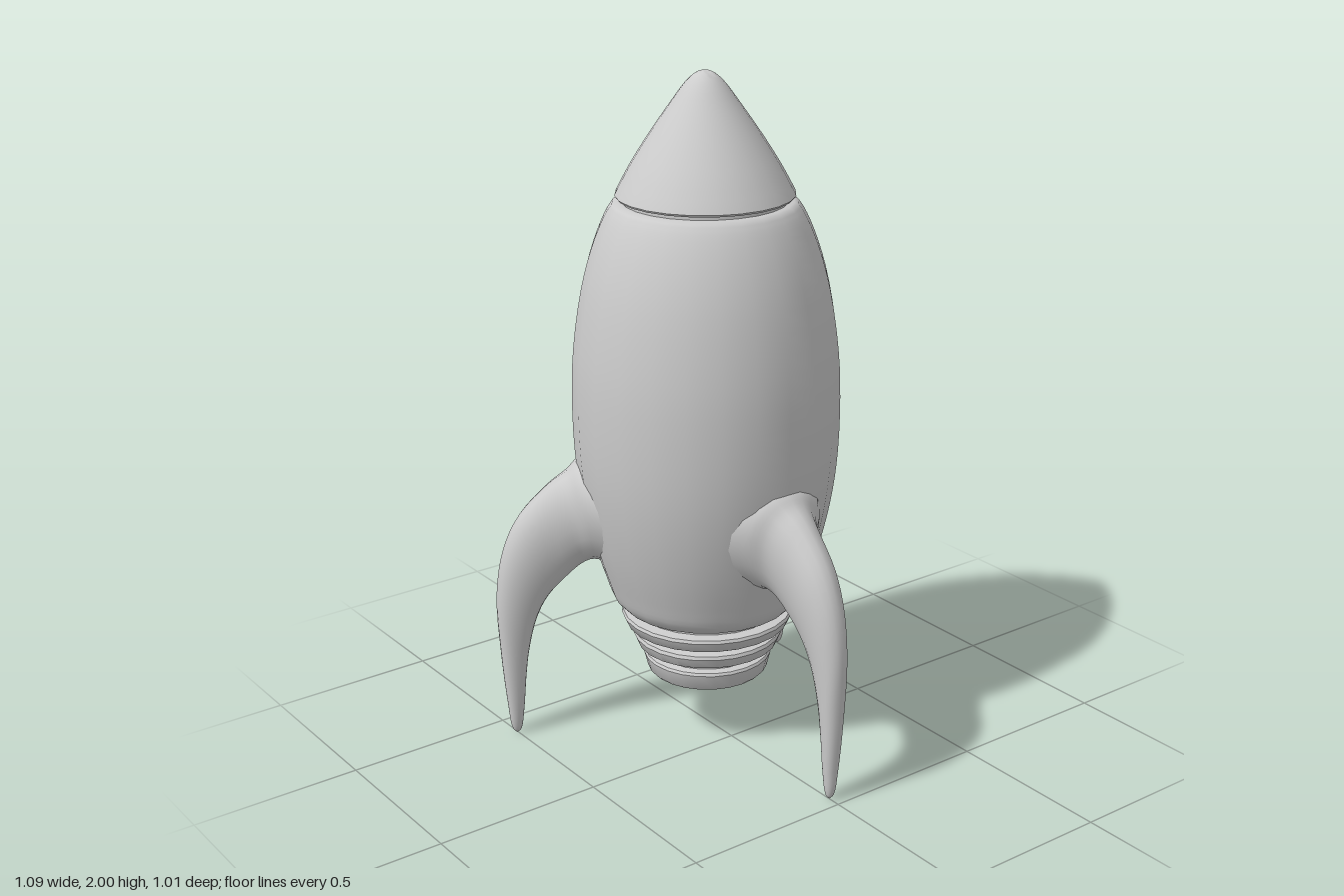
import * as THREE from 'three';
import { toCreasedNormals } from 'three/addons/utils/BufferGeometryUtils.js';

const material = new THREE.MeshStandardMaterial({ color: 0xcccccc });
const SIDES = 24;

function lathe(name, points) {
  const geometry = new THREE.LatheGeometry(points.map(([r, y]) => new THREE.Vector2(r, y)), SIDES);
  const mesh = new THREE.Mesh(toCreasedNormals(geometry, 0.7), material);
  mesh.name = name;
  return mesh;
}

// Smooth curve through profile points
function smooth(points, steps) {
  const curve = new THREE.CatmullRomCurve3(points.map(([r, y]) => new THREE.Vector3(r, y, 0)));
  return curve.getPoints(steps).map((p) => [Math.max(0, p.x), p.y]);
}

// Curved fin: teardrop sections between an outer and an inner edge
function finGeometry() {
  // outer radius, outer y, inner radius, inner y, half width
  const stations = [
    [0.30, 0.90, 0.27, 0.55, 0.19],
    [0.375, 0.875, 0.335, 0.57, 0.13],
    [0.41, 0.845, 0.37, 0.555, 0.092],
    [0.46, 0.81, 0.42, 0.51, 0.07],
    [0.55, 0.715, 0.475, 0.45, 0.058],
    [0.60, 0.61, 0.51, 0.38, 0.048],
    [0.625, 0.465, 0.535, 0.28, 0.038],
    [0.62, 0.28, 0.547, 0.19, 0.03],
    [0.605, 0.10, 0.557, 0.08, 0.021],
    [0.594, 0.02, 0.568, 0.015, 0.011],
    [0.58, 0.003, 0.58, 0.003, 0],
  ];
  const outer = new THREE.CatmullRomCurve3(stations.map((s) => new THREE.Vector3(s[4], s[1], s[0])));
  const inner = new THREE.CatmullRomCurve3(stations.map((s) => new THREE.Vector3(0, s[3], s[2])));
  const rows = 40, ring = 20, positions = [], index = [];
  for (let i = 0; i <= rows; i++) {
    const o = outer.getPoint(i / rows), n = inner.getPoint(i / rows);
    for (let j = 0; j < ring; j++) {
      const a = (j / ring) * Math.PI * 2, k = (1 + Math.cos(a)) / 2;
      positions.push(
        o.x * Math.sin(a) * (1 + 0.2 * Math.cos(a)),
        n.y + (o.y - n.y) * k,
        n.z + (o.z - n.z) * k,
      );
      if (i < rows) {
        const p = i * ring + j, q = i * ring + ((j + 1) % ring);
        index.push(p, p + ring, q, q, p + ring, q + ring);
      }
    }
  }
  const geometry = new THREE.BufferGeometry();
  geometry.setAttribute('position', new THREE.Float32BufferAttribute(positions, 3));
  geometry.setIndex(index);
  geometry.computeVertexNormals();
  return geometry;
}

export function createModel() {
  const rocket = new THREE.Group();
  rocket.name = 'rocket';

  // Hull with rounded lower rim and a lip under the nose
  rocket.add(lathe('hull', [
    [0, 0.42], [0.24, 0.42],
    ...smooth([
      [0.255, 0.422], [0.28, 0.45], [0.30, 0.505], [0.335, 0.62], [0.364, 0.75], [0.381, 0.88],
      [0.387, 1.05], [0.38, 1.21], [0.351, 1.40], [0.315, 1.525], [0.28, 1.605], [0.262, 1.632],
    ], 36),
    [0.25, 1.638], [0.235, 1.638], [0.235, 1.65],
  ]));

  // Nose cone
  rocket.add(lathe('noseCone', [
    [0.22, 1.65], [0.25, 1.65], [0.254, 1.656],
    ...smooth([
      [0.25, 1.665], [0.215, 1.73], [0.175, 1.795], [0.135, 1.855], [0.095, 1.912],
      [0.06, 1.96], [0.037, 1.984], [0.018, 1.996], [0, 2],
    ], 22),
  ]));

  // Ribbed engine nozzle, hollow from below
  rocket.add(lathe('nozzle', [
    [0, 0.31], [0.07, 0.30], [0.115, 0.27], [0.132, 0.23], [0.14, 0.203], [0.148, 0.198],
    [0.172, 0.198], [0.18, 0.206], [0.191, 0.25], [0.187, 0.258], [0.165, 0.262],
    [0.165, 0.276], [0.195, 0.28], [0.21, 0.288], [0.222, 0.318], [0.218, 0.328], [0.19, 0.332],
    [0.19, 0.346], [0.23, 0.35], [0.243, 0.357], [0.256, 0.387], [0.252, 0.396], [0.22, 0.40],
    [0.22, 0.43],
  ]));

  // Three fins around the hull
  const fin = finGeometry();
  ['frontFin', 'leftFin', 'rightFin'].forEach((name, i) => {
    const mesh = new THREE.Mesh(fin, material);
    mesh.name = name;
    mesh.rotation.y = (i * Math.PI * 2) / 3;
    rocket.add(mesh);
  });

  // The hull axis sits behind the centre because one fin points forward
  rocket.position.z = -0.12;
  const model = new THREE.Group();
  model.add(rocket);
  return model;
}
